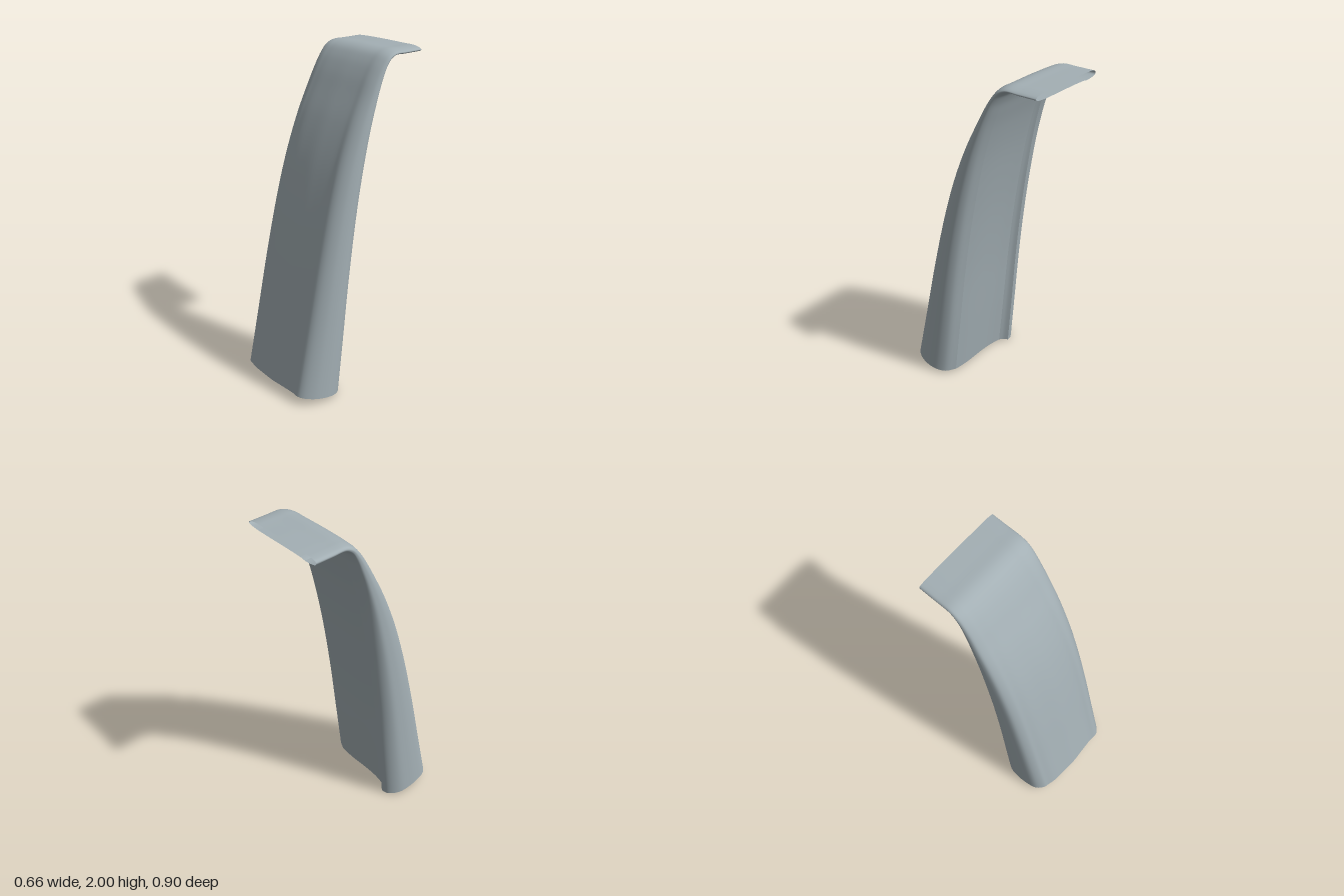
import * as THREE from 'three';

// Stations up the duct: front z, front y, back z, back y, half width
const STATIONS = [
  [0.45, 0.055, 0.088, 0.004, 0.332],
  [0.373, 0.40, 0.057, 0.34, 0.326],
  [0.284, 0.80, 0.021, 0.73, 0.318],
  [0.196, 1.15, -0.021, 1.07, 0.309],
  [0.117, 1.40, -0.058, 1.31, 0.302],
  [0.03, 1.61, -0.098, 1.53, 0.294],
  [-0.05, 1.765, -0.138, 1.70, 0.286],
  [-0.105, 1.865, -0.168, 1.80, 0.28],
  [-0.155, 1.937, -0.195, 1.88, 0.276],
  [-0.20, 1.98, -0.222, 1.93, 0.274],
  [-0.25, 1.999, -0.26, 1.955, 0.272],
  [-0.34, 2.0, -0.34, 1.955, 0.272],
  [-0.45, 2.0, -0.45, 1.955, 0.272],
];

// Cross-sections: x as a share of the half width, depth from 0 (back) to 1 (front)
// Outer skin, from the left lip round the front to the right lip
const SKIN = [
  [0.72, 0.18], [0.9, 0.27], [0.98, 0.4], [1, 0.53], [0.985, 0.66], [0.935, 0.8],
  [0.83, 0.93], [0.72, 0.985], [0.57, 0.975], [0.3, 0.985], [0, 1], [-0.3, 0.985],
  [-0.57, 0.965], [-0.72, 0.93], [-0.83, 0.9], [-0.95, 0.79], [-0.995, 0.6],
  [-1, 0.42], [-0.975, 0.23], [-0.9, 0.1], [-0.8, 0.02], [-0.68, 0],
];
// Recessed back panel, from the right lip's inner step to the left lip
const STEP = [[-0.68, 0], [-0.62, 0.07], [-0.55, 0.115]];
const PANEL = [[-0.55, 0.115], [-0.3, 0.15], [0, 0.16], [0.3, 0.155], [0.52, 0.16], [0.72, 0.18]];

const curve = (points) => new THREE.CatmullRomCurve3(points.map((p) => new THREE.Vector3(...p)));

const frontPath = curve(STATIONS.map(([z, y, , , w]) => [w, y, z]));
const backPath = curve(STATIONS.map(([, , z, y, w]) => [w, y, z]));

// Sweep an open strip of the cross-section through all stations
function loft(profile, columns) {
  const section = curve(profile.map(([x, d]) => [x, d, 0])).getPoints(columns);
  const rows = 72;
  const n = section.length;
  const positions = [];
  const index = [];

  for (let i = 0; i <= rows; i++) {
    const f = frontPath.getPoint(i / rows);
    const b = backPath.getPoint(i / rows);
    for (const s of section) {
      positions.push(
        s.x * f.x,
        THREE.MathUtils.lerp(b.y, f.y, s.y),
        THREE.MathUtils.lerp(b.z, f.z, s.y),
      );
    }
  }
  for (let i = 0; i < rows; i++) {
    for (let j = 0; j < n - 1; j++) {
      const a = i * n + j;
      index.push(a, a + n, a + 1, a + 1, a + n, a + n + 1);
    }
  }

  const geometry = new THREE.BufferGeometry();
  geometry.setAttribute('position', new THREE.Float32BufferAttribute(positions, 3));
  geometry.setIndex(index);
  geometry.computeVertexNormals();
  return geometry;
}

export function createModel() {
  const model = new THREE.Group();
  model.name = 'curvedDuct';

  const material = new THREE.MeshStandardMaterial({ color: 0xa3afb4, side: THREE.DoubleSide });
  material.name = 'pale grey';

  const addStrip = (name, profile, columns) => {
    const mesh = new THREE.Mesh(loft(profile, columns), material);
    mesh.name = name;
    model.add(mesh);
  };
  addStrip('outerSkin', SKIN, 84);
  addStrip('lipStep', STEP, 6);
  addStrip('backPanel', PANEL, 24);
  return model;
}
